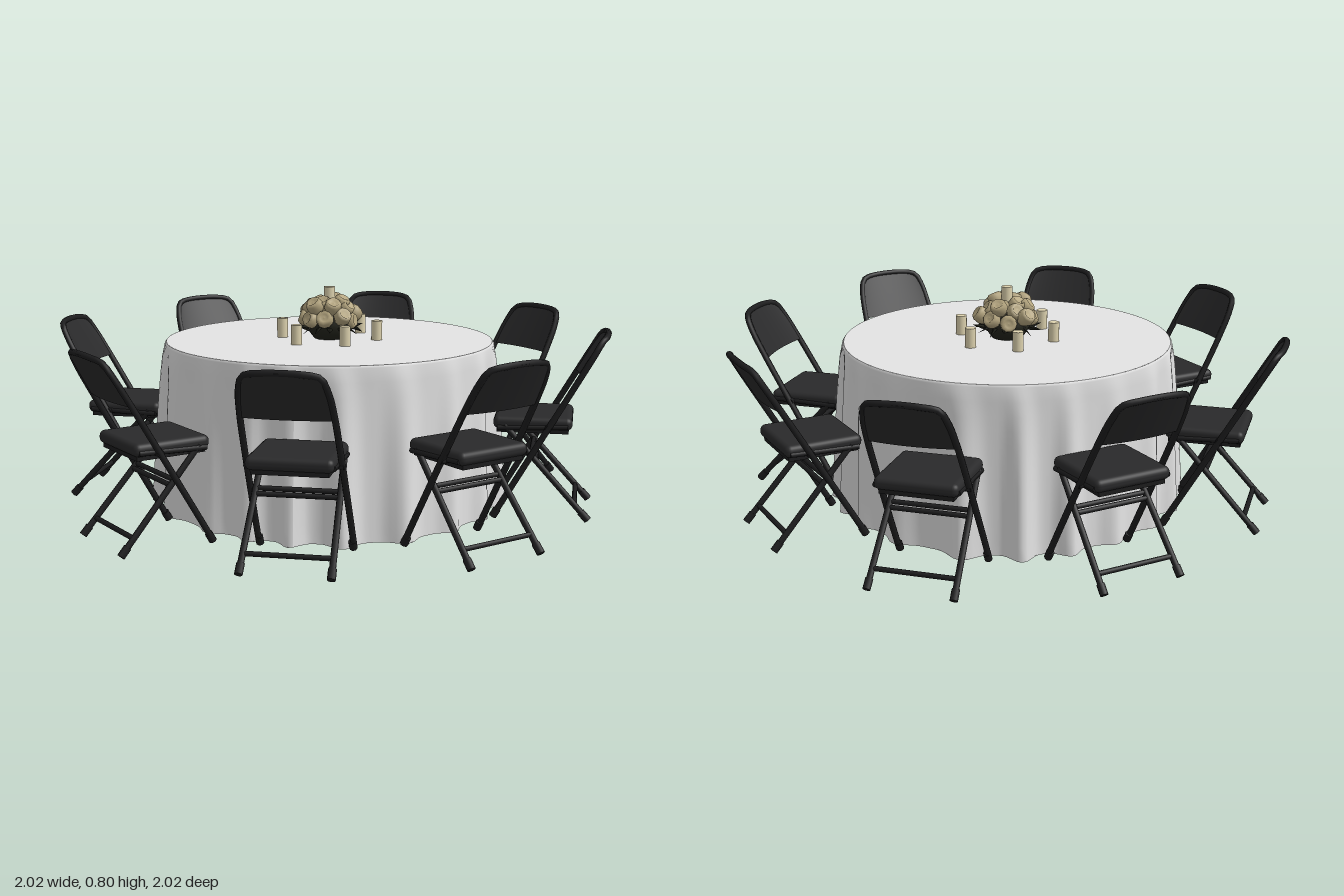
import * as THREE from 'three';
import { RoundedBoxGeometry } from 'three/addons/geometries/RoundedBoxGeometry.js';

const mat = (name, color, side = THREE.FrontSide) => {
  const m = new THREE.MeshStandardMaterial({ color, side });
  m.name = name;
  return m;
};
const clothMat = mat('cloth white', 0xe4e4e4, THREE.DoubleSide);
const frameMat = mat('frame black', 0x1d1d1e);
const padMat = mat('pad charcoal', 0x2a2a2b);
const candleMat = mat('candle cream', 0xdfd4b0);
const roseMat = mat('rose beige', 0xb5a680);
const leafMat = mat('foliage dark', 0x23241c, THREE.DoubleSide);

const V = (x, y, z) => new THREE.Vector3(x, y, z);

function add(parent, name, geo, material, x = 0, y = 0, z = 0) {
  const m = new THREE.Mesh(geo, material);
  m.name = name;
  m.position.set(x, y, z);
  parent.add(m);
  return m;
}

// Straight round bar between two points
function bar(parent, name, a, b, r, material) {
  const m = add(parent, name, new THREE.CylinderGeometry(r, r, a.distanceTo(b), 8), material);
  m.position.copy(a).lerp(b, 0.5);
  m.quaternion.setFromUnitVectors(V(0, 1, 0), b.clone().sub(a).normalize());
  return m;
}

// Radius added by the hanging folds at an angle and height
function fold(a, y) {
  const t = Math.pow(Math.max(0, 1 - y / 0.59), 0.65);
  const wave = 0.5 + 0.5 * Math.cos(20 * a + 0.9 * Math.sin(3 * a) + 0.7 * Math.sin(5 * a + 1));
  const depth = 0.046 + 0.014 * Math.sin(4 * a + 0.6);
  return t * (depth * Math.pow(wave, 1.8) - 0.008);
}

function pushFolds(geo, r0) {
  const p = geo.attributes.position;
  for (let i = 0; i < p.count; i++) {
    const x = p.getX(i), y = p.getY(i), z = p.getZ(i), r = Math.hypot(x, z);
    if (r < r0) continue;
    const k = 1 + fold(Math.atan2(x, z), y) / r;
    p.setX(i, x * k);
    p.setZ(i, z * k);
  }
  geo.computeVertexNormals();
  return geo;
}

function createTable() {
  const table = new THREE.Group();
  table.name = 'table';
  // Hanging cloth
  const profile = [];
  for (let i = 0; i <= 12; i++) profile.push(new THREE.Vector2(0.604 - 0.006 * i / 12, 0.59 * i / 12));
  profile.push(new THREE.Vector2(0.592, 0.598));
  add(table, 'clothSkirt', pushFolds(new THREE.LatheGeometry(profile, 240), 0.59), clothMat);
  // Flat top and closed underside
  const top = new THREE.CircleGeometry(0.592, 96).rotateX(-Math.PI / 2);
  add(table, 'clothTop', top, clothMat, 0, 0.598, 0);
  const base = new THREE.CircleGeometry(0.604, 240).rotateX(Math.PI / 2);
  add(table, 'clothUnderside', pushFolds(base, 0.59), clothMat, 0, 0.002, 0);
  return table;
}

// Depth of the straight, reclined front legs and back posts at a height
const lean = (y) => -0.135 + 0.575 * y;

function backPanel() {
  const geo = new THREE.BoxGeometry(2, 1, 0.014, 20, 8, 1);
  const p = geo.attributes.position;
  for (let i = 0; i < p.count; i++) {
    const u = p.getX(i), v = p.getY(i) + 0.5;
    const topY = 0.645 - 0.06 * Math.pow(Math.abs(u), 6);
    const y = 0.487 + v * (topY - 0.487);
    p.setXYZ(i, u * (0.147 - 0.012 * v), y, lean(y) + 0.015 * (1 - u * u) + p.getZ(i));
  }
  geo.computeVertexNormals();
  return geo;
}

// Folding chair, seat centred at the local origin, back towards +z
function createChair() {
  const chair = new THREE.Group();
  chair.name = 'foldingChair';
  // Padded seat
  add(chair, 'seat', new RoundedBoxGeometry(0.284, 0.045, 0.275, 3, 0.02), padMat, 0, 0.338, -0.003);
  add(chair, 'seatPan', new THREE.BoxGeometry(0.25, 0.02, 0.25), frameMat, 0, 0.312, -0.003);
  add(chair, 'backrest', backPanel(), padMat);

  // Continuous front legs, back posts and top hoop
  const side = [[0.16, 0.01], [0.158, 0.13], [0.155, 0.26], [0.152, 0.38], [0.147, 0.5], [0.137, 0.585], [0.118, 0.63]];
  const half = side.map(([x, y]) => V(x, y, lean(y)));
  half.push(V(0.07, 0.642, lean(0.642) + 0.009));
  const other = half.map((q) => V(-q.x, q.y, q.z)).reverse();
  const path = new THREE.CatmullRomCurve3([...half, ...other]);
  add(chair, 'mainFrame', new THREE.TubeGeometry(path, 72, 0.011, 8), frameMat);

  // Rear legs crossing the main frame
  const rear = (s, y) => V(s * (0.134 + 0.012 * (1 - y / 0.33)), y, 0.2 - 0.3 * y / 0.33);
  const front = (s, y) => V(s * 0.157, y, lean(y));
  for (const s of [-1, 1]) {
    bar(chair, 'rearLeg', rear(s, 0.005), rear(s, 0.33), 0.011, frameMat);
    bar(chair, 'rearFoot', rear(s, 0.002), rear(s, 0.03), 0.014, frameMat);
    bar(chair, 'frontFoot', front(s, 0.002), front(s, 0.03), 0.014, frameMat);
    bar(chair, 'seatHinge', V(s * 0.125, 0.325, lean(0.325)), V(s * 0.16, 0.325, lean(0.325)), 0.013, frameMat);
    bar(chair, 'seatRail', V(s * 0.137, 0.32, -0.125), V(s * 0.137, 0.33, 0.12), 0.01, frameMat);
  }
  // Cross bars
  for (const y of [0.055, 0.21]) bar(chair, 'rearCrossBar', rear(-1, y), rear(1, y), 0.009, frameMat);
  bar(chair, 'frontCrossBar', front(-1, 0.225), front(1, 0.225), 0.009, frameMat);
  return chair;
}

function candle(parent, x, y, z, h) {
  add(parent, 'candle', new THREE.CylinderGeometry(0.02, 0.02, h, 16), candleMat, x, y + h / 2, z);
}

function createCentrepiece() {
  const g = new THREE.Group();
  g.name = 'centrepiece';
  // Dark bowl of foliage
  const bowl = [[0, 0], [0.055, 0], [0.07, 0.02], [0.088, 0.05], [0.075, 0.09], [0, 0.115]].map((q) => new THREE.Vector2(...q));
  add(g, 'bowl', new THREE.LatheGeometry(bowl, 20), leafMat, 0, 0.6, 0);
  // Rose heads scattered over a dome
  const budPts = [[0, -0.034], [0.02, -0.028], [0.032, -0.004], [0.029, 0.018], [0.021, 0.028], [0.014, 0.019], [0, 0.022]];
  const bud = new THREE.LatheGeometry(budPts.map((q) => new THREE.Vector2(...q)), 10);
  const rings = [[9, 0.086, 0.678, 0.5], [7, 0.066, 0.712, 0.9], [4, 0.036, 0.718, 1.5]];
  rings.forEach(([n, r, y, tilt], k) => {
    for (let i = 0; i < n; i++) {
      const a = (i + 0.4 * k) / n * Math.PI * 2, w = 0.012 * Math.sin(i * 2.3 + k);
      const m = add(g, 'rose', bud, roseMat, Math.sin(a) * (r + w), y + w, Math.cos(a) * (r + w));
      m.quaternion.setFromUnitVectors(V(0, 1, 0), V(Math.sin(a), tilt + 30 * w, Math.cos(a)).normalize());
    }
  });
  // Pointed leaves around the rim
  const leaf = new THREE.ConeGeometry(0.018, 0.07, 4).scale(1, 1, 0.3);
  for (let i = 0; i < 14; i++) {
    const a = i / 14 * Math.PI * 2 + 0.2, d = V(Math.sin(a), 0.5 * Math.sin(i * 1.9) - 0.25, Math.cos(a));
    const m = add(g, 'leaf', leaf, leafMat, Math.sin(a) * 0.093, 0.642, Math.cos(a) * 0.093);
    m.quaternion.setFromUnitVectors(V(0, 1, 0), d.normalize());
  }
  // Centre candle and six around
  candle(g, 0, 0.7, 0, 0.088);
  for (let i = 0; i < 6; i++) {
    const a = i / 6 * Math.PI * 2;
    candle(g, Math.cos(a) * 0.175, 0.598, Math.sin(a) * 0.188, 0.07);
  }
  return g;
}

export function createModel() {
  const model = new THREE.Group();
  model.name = 'banquetTable';
  model.add(createTable(), createCentrepiece());
  // Chairs: seat centre x, z and eighth-turn facing
  const places = [[0.04, 0.748, 0], [0.56, 0.525, 1], [0.752, 0, 2], [0.56, -0.52, 3],
    [0.04, -0.752, 4], [-0.51, -0.535, 5], [-0.752, 0, 6], [-0.482, 0.607, 7]];
  for (const [x, z, k] of places) {
    const chair = createChair();
    chair.position.set(x, 0, z);
    chair.rotation.y = k * Math.PI / 4;
    model.add(chair);
  }
  return model;
}
